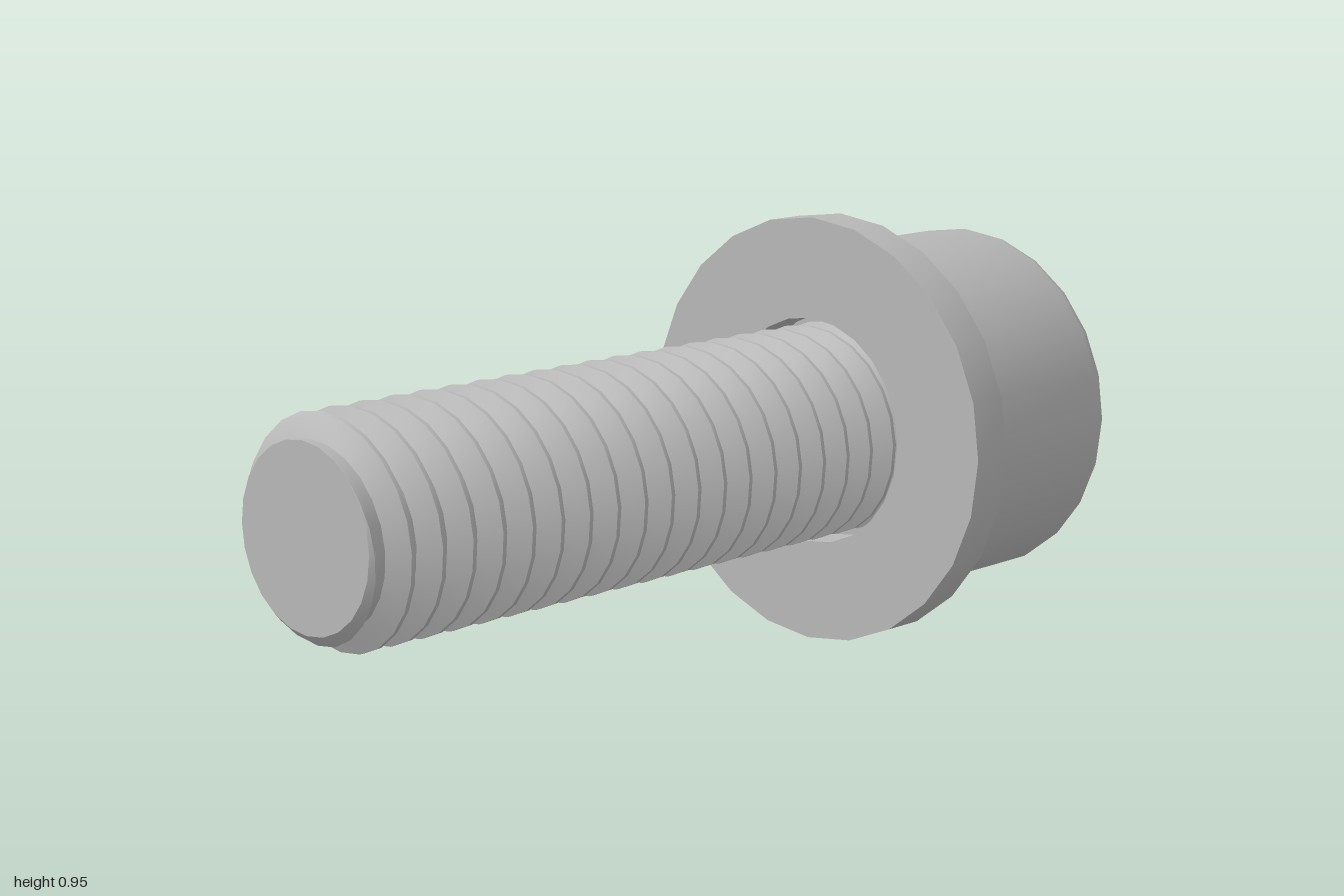
import * as THREE from 'three';
import { toCreasedNormals } from 'three/addons/utils/BufferGeometryUtils.js';

const SEG = 24;
const AXIS_Y = 0.476;
const PITCH = 0.0762;
const CREST_R = 0.238, ROOT_R = 0.19;
const SHANK_START = -0.535, TIP = 1;

const steel = new THREE.MeshStandardMaterial({ color: 0xb8b8b8 });
steel.name = 'steel grey';

// Surface of revolution about the z axis; points are [radius, z]
function revolve(points) {
  const g = new THREE.LatheGeometry(points.map(([r, z]) => new THREE.Vector2(r, z)), SEG);
  g.rotateX(Math.PI / 2);
  return toCreasedNormals(g, 0.5);
}

// Skin over rows; at(row, angle) returns [radius, z]
function skin(rowCount, at, crease) {
  const pos = [], index = [];
  for (let i = 0; i < rowCount; i++) {
    for (let j = 0; j <= SEG; j++) {
      const a = (j / SEG) * Math.PI * 2;
      const [r, z] = at(i, a);
      pos.push(r * Math.cos(a), r * Math.sin(a), z);
    }
  }
  const w = SEG + 1;
  const same = (p, q) => [0, 1, 2].every(k => Math.abs(pos[p * 3 + k] - pos[q * 3 + k]) < 1e-6);
  const tri = (a, b, c) => {
    if (!same(a, b) && !same(b, c) && !same(a, c)) index.push(a, b, c);
  };
  for (let i = 0; i < rowCount - 1; i++) {
    for (let j = 0; j < SEG; j++) {
      const a = i * w + j, b = a + 1, c = a + w, d = c + 1;
      tri(a, b, c);
      tri(b, d, c);
    }
  }
  const g = new THREE.BufferGeometry();
  g.setAttribute('position', new THREE.Float32BufferAttribute(pos, 3));
  g.setIndex(index);
  return toCreasedNormals(g, crease);
}

// Right-hand thread with a chamfered, flat tip
function threadGeometry() {
  const crest = 0.933;
  const steps = [-1 / 16, 1 / 16, 7 / 32, 3 / 8, 5 / 8, 25 / 32];
  const bases = [];
  for (let n = -22; n <= 2; n++) for (const s of steps) bases.push(crest + (n + s) * PITCH);
  const radius = (z, lead) => {
    const t = (z - lead - crest) / PITCH;
    const u = Math.abs(t - Math.round(t));
    const k = THREE.MathUtils.clamp((u - 1 / 16) / (5 / 16), 0, 1);
    return Math.min(THREE.MathUtils.lerp(CREST_R, ROOT_R, k), ROOT_R + (TIP - z));
  };
  return skin(bases.length + 1, (i, a) => {
    if (i === bases.length) return [0, TIP];
    const lead = (PITCH * a) / (Math.PI * 2);
    const z = THREE.MathUtils.clamp(bases[i] + lead, SHANK_START, TIP);
    return [radius(z, lead), z];
  }, 0.5);
}

// Hexagonal recess with a conical lead-in, corners pointing up and down
function socketGeometry() {
  const mouth = 0.23, flat = 0.188, depth = 0.235;
  return skin(4, (i, a) => {
    const sector = Math.PI / 3;
    const hex = flat / Math.cos(a - Math.round(a / sector) * sector);
    return [
      [0, -1 + depth],
      [hex, -1 + depth],
      [hex, -1 + (mouth - hex) * 0.7],
      [mouth, -1],
    ][i];
  }, 0.3);
}

export function createModel() {
  const model = new THREE.Group();
  model.name = 'socketScrew';
  const add = (name, geometry) => {
    const mesh = new THREE.Mesh(geometry, steel);
    mesh.name = name;
    mesh.position.y = AXIS_Y;
    model.add(mesh);
  };

  // Cylindrical head with a rounded outer rim
  const head = [[0.23, -1]];
  for (let i = 0; i <= 4; i++) {
    const a = (i / 4) * Math.PI / 2;
    head.push([0.36 + 0.04 * Math.sin(a), -0.96 - 0.04 * Math.cos(a)]);
  }
  head.push([0.4, -0.545], [0.385, -0.526], [0.18, -0.526]);
  add('head', revolve(head));
  add('hexSocket', socketGeometry());

  // Flat washer with a clearance hole
  add('washer', revolve([
    [0.253, -0.43], [0.253, -0.525], [0.476, -0.525], [0.476, -0.43], [0.253, -0.43],
  ]));

  add('threadedShank', threadGeometry());
  return model;
}
